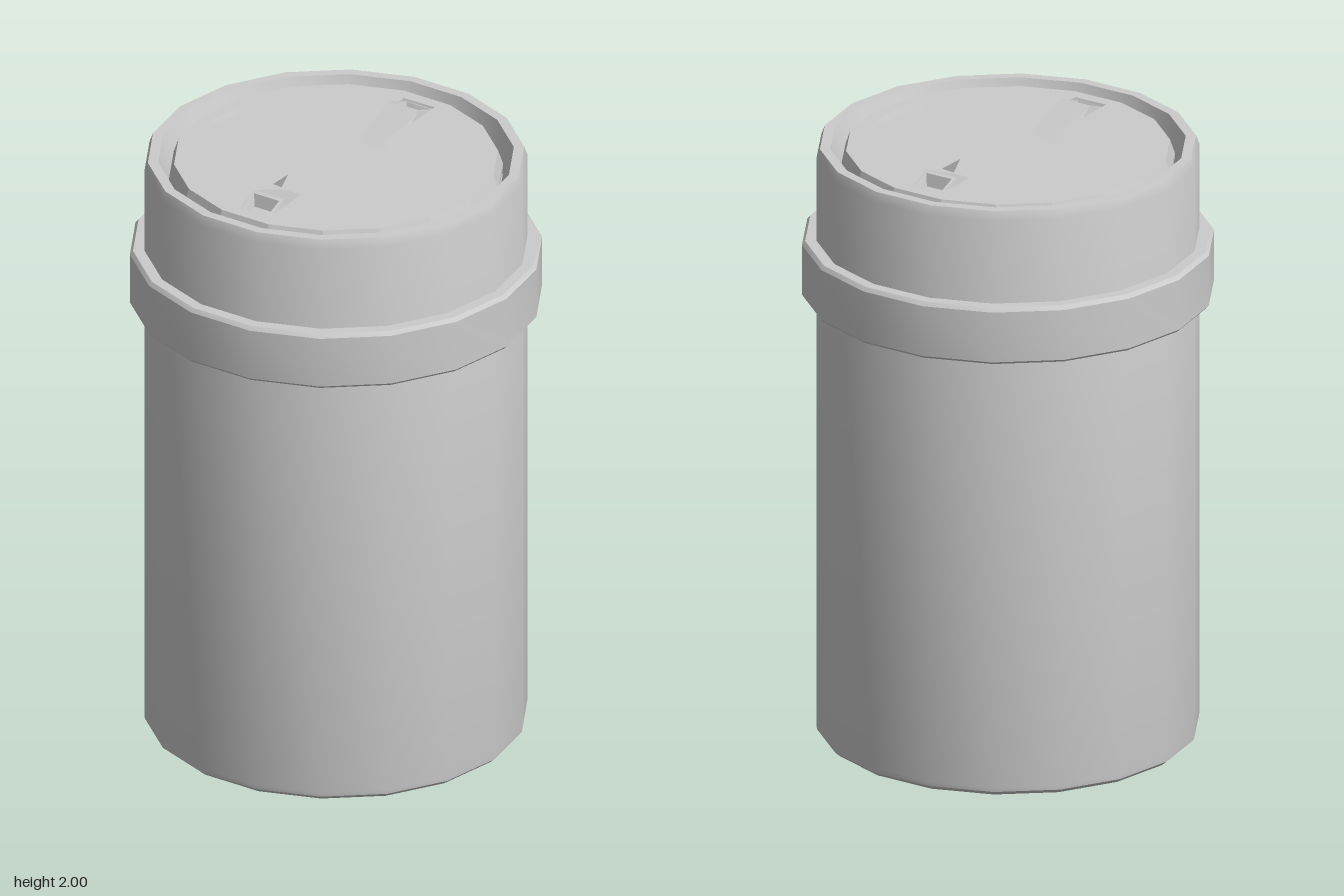
import * as THREE from 'three';
import { toCreasedNormals } from 'three/addons/utils/BufferGeometryUtils.js';

const SIDES = 18;
const material = new THREE.MeshStandardMaterial({ color: 0xcccccc });

function add(parent, name, geometry, crease = 0.6) {
  const mesh = new THREE.Mesh(toCreasedNormals(geometry, crease), material);
  mesh.name = name;
  parent.add(mesh);
  return mesh;
}

function lathe(profile) {
  return new THREE.LatheGeometry(profile.map(([r, y]) => new THREE.Vector2(r, y)), SIDES);
}

// Rectangular section; y slopes from y0 at x0 to y1 at x1.
function rect(x0, y0, x1, y1, half) {
  return [[x0, y0, half], [x1, y1, half], [x1, y1, -half], [x0, y0, -half]];
}

// Joins rectangular sections in order and closes the last one.
function loft(sections) {
  const positions = [];
  const quad = (a, b, c, d) => positions.push(...a, ...b, ...c, ...a, ...c, ...d);
  for (let i = 0; i + 1 < sections.length; i++) {
    for (let k = 0; k < 4; k++) {
      const n = (k + 1) % 4;
      quad(sections[i][k], sections[i][n], sections[i + 1][n], sections[i + 1][k]);
    }
  }
  quad(...sections[sections.length - 1]);
  const geometry = new THREE.BufferGeometry();
  geometry.setAttribute('position', new THREE.Float32BufferAttribute(positions, 3));
  geometry.computeVertexNormals();
  return geometry;
}

// Lid plate with a barrel-shaped recess and a channel on each side.
function lidPlate() {
  const shape = new THREE.Shape();
  for (let i = 0; i < SIDES; i++) {
    const a = (i / SIDES) * Math.PI * 2, x = 0.53 * Math.sin(a), y = 0.53 * Math.cos(a);
    if (i) shape.lineTo(x, y); else shape.moveTo(x, y);
  }
  shape.closePath();
  const half = [[0, 0.487], [0.152, 0.455], [0.197, 0.073], [0.48, 0.073],
    [0.48, -0.073], [0.197, -0.073], [0.152, -0.455]];
  const outline = [...half, ...half.map(([x, y]) => [-x, -y])];
  shape.holes.push(new THREE.Path(outline.map(([x, y]) => new THREE.Vector2(x, y))));
  const geometry = new THREE.ExtrudeGeometry(shape, {
    depth: 0.02, bevelEnabled: true, bevelSegments: 1,
    bevelThickness: 0.045, bevelSize: 0.015, bevelOffset: -0.015,
  });
  geometry.rotateX(-Math.PI / 2);
  geometry.translate(0, 1.975 - 0.065, 0);
  return geometry;
}

export function createModel() {
  const model = new THREE.Group();
  model.name = 'canister';
  const turned = new THREE.Group();
  turned.name = 'turnedCanister';
  turned.rotation.y = THREE.MathUtils.degToRad(16.5);
  model.add(turned);

  // Body wall, rim and the groove around the lid
  add(turned, 'body', lathe([
    [0, 0], [0.59, 0], [0.607, 0.015], [0.609, 0.03], [0.609, 1.955], [0.598, 1.985],
    [0.565, 1.985], [0.53, 1.89], [0, 1.89],
  ]));

  // Raised collar
  add(turned, 'collar', lathe([
    [0.6, 1.485], [0.648, 1.485], [0.655, 1.493], [0.655, 1.662], [0.645, 1.675], [0.6, 1.675],
  ]));

  // Lid
  add(turned, 'lidPlate', lidPlate(), 0.3);
  const floor = add(turned, 'recessFloor', new THREE.CylinderGeometry(0.51, 0.51, 0.05, SIDES));
  floor.position.y = 1.905;

  // Finger tabs: a ramp rising from the recess to a hollow catch
  for (const side of [0, 1]) {
    const tab = new THREE.Group();
    tab.name = side ? 'rightTab' : 'leftTab';
    tab.rotation.y = side * Math.PI;
    turned.add(tab);
    add(tab, 'ramp', loft([
      rect(0.2, 1.9, 0.375, 1.9, 0.07),
      rect(0.205, 1.93, 0.375, 2.0, 0.058),
    ]), 0.3);
    add(tab, 'catch', loft([
      rect(0.375, 1.9, 0.487, 1.9, 0.07),
      rect(0.375, 2.0, 0.482, 1.957, 0.058),
      rect(0.387, 1.996, 0.462, 1.966, 0.048),
      rect(0.397, 1.955, 0.452, 1.945, 0.04),
    ]), 0.3);
  }

  return model;
}
